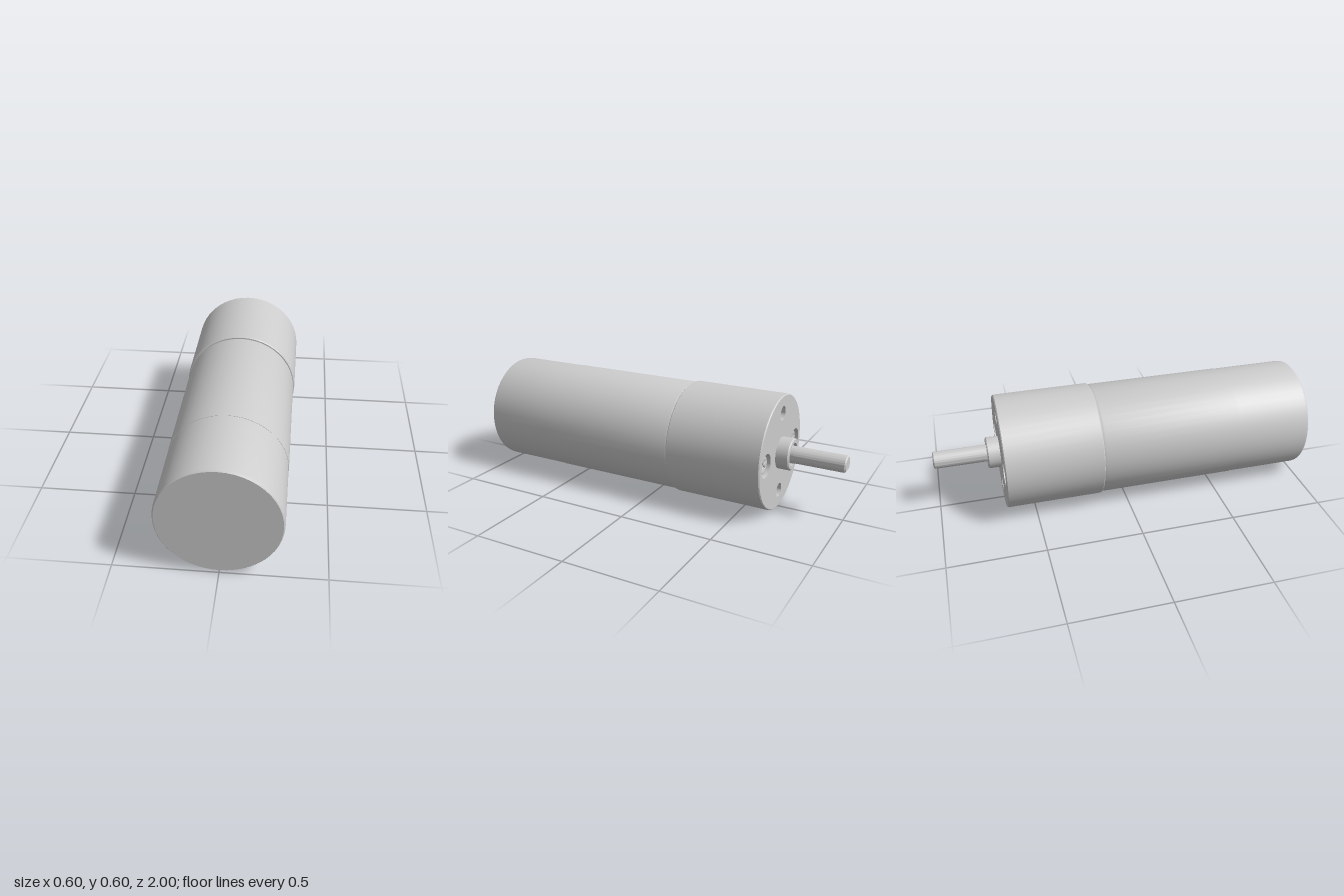
import * as THREE from 'three';
import { toCreasedNormals } from 'three/addons/utils/BufferGeometryUtils.js';

const SEG = 48;
const AXIS_Y = 0.304;   // height of the motor axis
const FACE_Z = -0.655;  // mounting face of the gearbox
const BOLT_R = 0.21;    // radius of the hole circle

export function createModel() {
  const model = new THREE.Group();
  const grey = new THREE.MeshStandardMaterial({ color: 0xcccccc });

  const add = (name, geometry, x = 0, y = 0) => {
    const mesh = new THREE.Mesh(toCreasedNormals(geometry, 0.45), grey);
    mesh.name = name;
    mesh.position.set(x, AXIS_Y + y, 0);
    model.add(mesh);
    return mesh;
  };
  // Turned part around the z axis from [radius, z] pairs
  const turned = (profile, seg = SEG) =>
    new THREE.LatheGeometry(profile.map(([r, z]) => new THREE.Vector2(r, z)), seg).rotateX(Math.PI / 2);
  const circle = (C, x, y, r) => new C().absarc(x, y, r, 0, Math.PI * 2, false);

  // Motor can, with a rounded rear edge and a slightly raised magnet sleeve
  add('motorCan', turned([
    [0, -0.15], [0.283, -0.15], [0.291, -0.144], [0.295, -0.132],
    [0.295, 0.6], [0.2935, 0.6], [0.2935, 0.985], [0.291, 0.996], [0.287, 1], [0, 1],
  ]));

  // Gearbox housing, open where the mounting face sits
  add('gearboxHousing', turned([
    [0.297, FACE_Z], [0.302, FACE_Z + 0.005], [0.302, -0.15], [0.297, -0.145], [0.26, -0.145],
  ]));

  // Mounting face with two threaded holes and two screw recesses
  const holes = [
    { x: 0, y: BOLT_R, r: 0.037, depth: 0.12 },
    { x: 0, y: -BOLT_R, r: 0.037, depth: 0.12 },
    { x: BOLT_R, y: 0, r: 0.062, depth: 0.055, screw: true },
    { x: -BOLT_R, y: 0, r: 0.062, depth: 0.055, screw: true },
  ];
  const face = circle(THREE.Shape, 0, 0, 0.297);
  for (const h of holes) face.holes.push(circle(THREE.Path, h.x, h.y, h.r));
  add('mountingFace', new THREE.ShapeGeometry(face, SEG).rotateY(Math.PI).translate(0, 0, FACE_Z));

  // Screw head: a disc with a cross-shaped slot
  const screwHead = () => {
    const disc = circle(THREE.Shape, 0, 0, 0.042);
    const a = 0.009, b = 0.032;
    const cross = [[a, a], [a, b], [-a, b], [-a, a], [-b, a], [-b, -a],
      [-a, -a], [-a, -b], [a, -b], [a, -a], [b, -a], [b, a]];
    disc.holes.push(new THREE.Path(cross.map(([x, y]) => new THREE.Vector2(x, y))));
    return new THREE.ExtrudeGeometry(disc, {
      depth: 0.03, curveSegments: 16, bevelThickness: 0.006, bevelSize: 0.006, bevelSegments: 2,
    }).rotateZ(Math.PI / 4);
  };

  for (const h of holes) {
    const floor = FACE_Z + h.depth;
    add(h.screw ? 'screwRecess' : 'mountingHole',
      turned([[0, floor], [h.r, floor], [h.r, FACE_Z]], SEG), h.x, h.y);
    if (h.screw) add('screwHead', screwHead().translate(0, 0, FACE_Z + 0.018), h.x, h.y);
  }

  // Bearing boss with a shallow counterbore around the shaft
  add('bearingBoss', turned([
    [0.04, -0.705], [0.06, -0.705], [0.06, -0.722], [0.077, -0.722], [0.083, -0.716], [0.083, FACE_Z],
  ]));

  // Output shaft: round root, then a D section with its flat facing down
  const R = 0.045;
  add('shaftRoot', turned([[0, -0.738], [R, -0.738], [R, -0.69]], 32));
  const flat = Math.asin(0.034 / R);
  const dSection = new THREE.Shape().absarc(0, 0, R, -flat, Math.PI + flat, false);
  dSection.closePath();
  add('outputShaft', new THREE.ExtrudeGeometry(dSection, {
    depth: 0.26, curveSegments: 28, bevelThickness: 0.007, bevelSize: 0.007, bevelOffset: -0.007, bevelSegments: 1,
  }).translate(0, 0, -0.993));

  return model;
}
